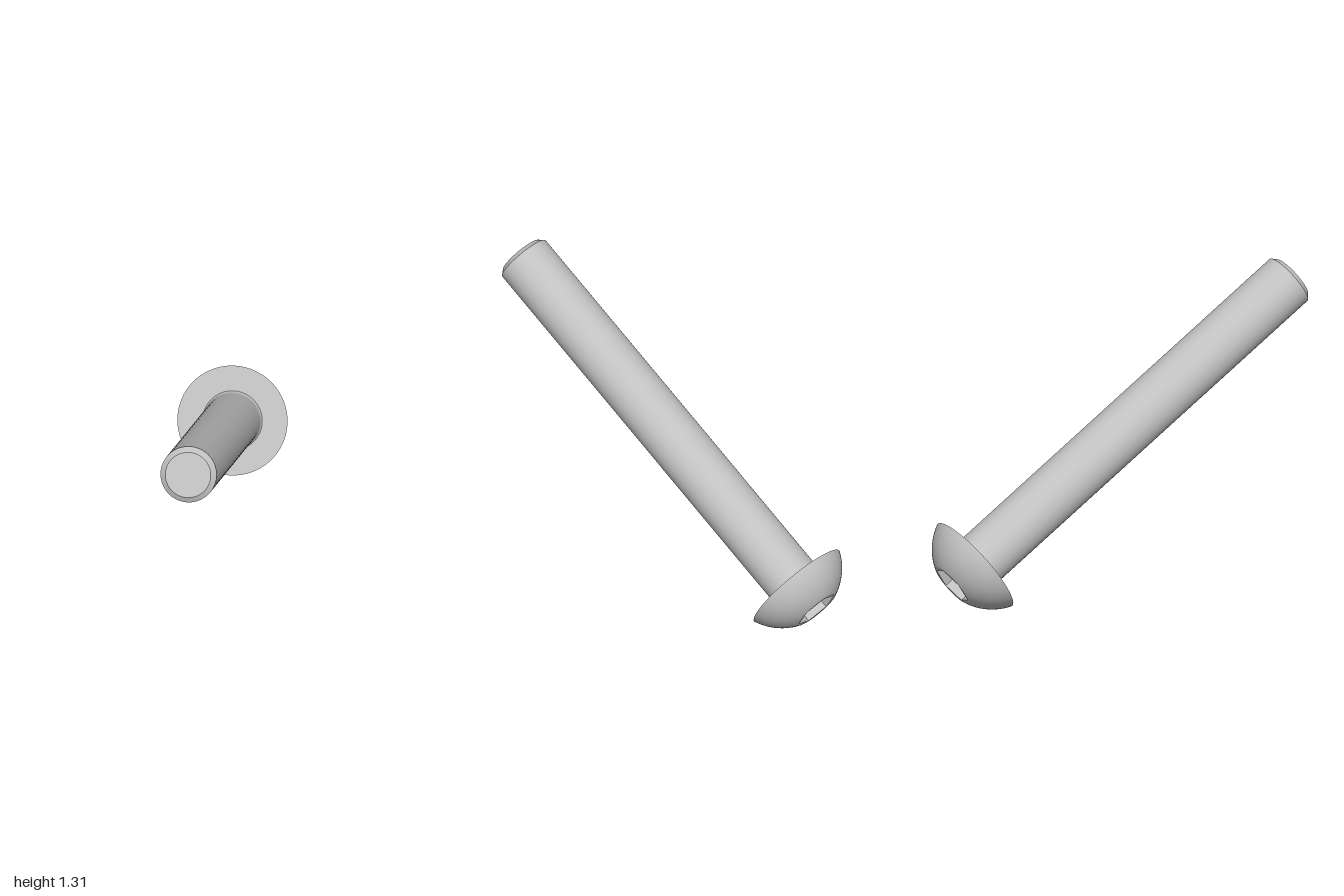
import * as THREE from 'three';

export function createModel() {
  const steel = new THREE.MeshStandardMaterial({ color: 0xc0c0c0 });
  steel.name = 'steel';

  const rim = 0.255, shankR = 0.13, length = 2.02;
  const faceR = 0.112, faceY = -0.145, hexR = 0.103, hexFloor = -0.055;

  // The screw is built along y, with the underside of the head at y = 0
  const screw = new THREE.Group();
  screw.name = 'screw';
  const add = (name, geometry) => {
    const mesh = new THREE.Mesh(geometry, steel);
    mesh.name = name;
    screw.add(mesh);
  };
  const lathe = (points, sides = 72) =>
    new THREE.LatheGeometry(points.map(([r, y]) => new THREE.Vector2(r, y)), sides);

  // Domed head: an arc of a sphere from the drive face to the rim
  const centre = (rim ** 2 - faceR ** 2 - faceY ** 2) / (-2 * faceY);
  const radius = Math.hypot(rim, centre);
  const start = Math.asin(faceR / radius), end = Math.asin(rim / radius);
  const dome = [];
  for (let i = 0; i <= 16; i++) {
    const a = start + (end - start) * i / 16;
    dome.push([radius * Math.sin(a), centre - radius * Math.cos(a)]);
  }
  add('headDome', lathe(dome));
  add('headUnderside', lathe([[rim, 0], [0.138, 0]]));

  // Flat drive face with a hexagonal opening
  const face = new THREE.Shape().absarc(0, 0, faceR, 0, Math.PI * 2);
  const hex = [];
  for (let i = 0; i < 6; i++) {
    const a = Math.PI / 2 - i * Math.PI / 3;
    hex.push(new THREE.Vector2(hexR * Math.cos(a), hexR * Math.sin(a)));
  }
  face.holes.push(new THREE.Path(hex));
  add('driveFace', new THREE.ShapeGeometry(face, 36).rotateX(Math.PI / 2).translate(0, faceY, 0));

  // Hexagonal socket, faceted
  const socket = lathe([[0, hexFloor], [hexR, hexFloor], [hexR, faceY]], 6).toNonIndexed();
  socket.computeVertexNormals();
  add('hexSocket', socket);

  // Shank with a small fillet under the head, chamfer and end
  add('shankFillet', lathe([[0.138, 0], [0.134, 0.006], [0.131, 0.014], [shankR, 0.024]]));
  add('shank', lathe([[shankR, 0.024], [shankR, length - 0.022]]));
  add('tipChamfer', lathe([[shankR, length - 0.022], [0.105, length]]));
  add('tipEnd', lathe([[0.105, length], [0, length]]));

  // Lean the screw so its tip points up and to the front
  screw.rotation.x = THREE.MathUtils.degToRad(60.83);
  screw.position.set(0, 0.2265, -0.815);

  const model = new THREE.Group();
  model.name = 'buttonHeadScrew';
  model.add(screw);
  return model;
}
